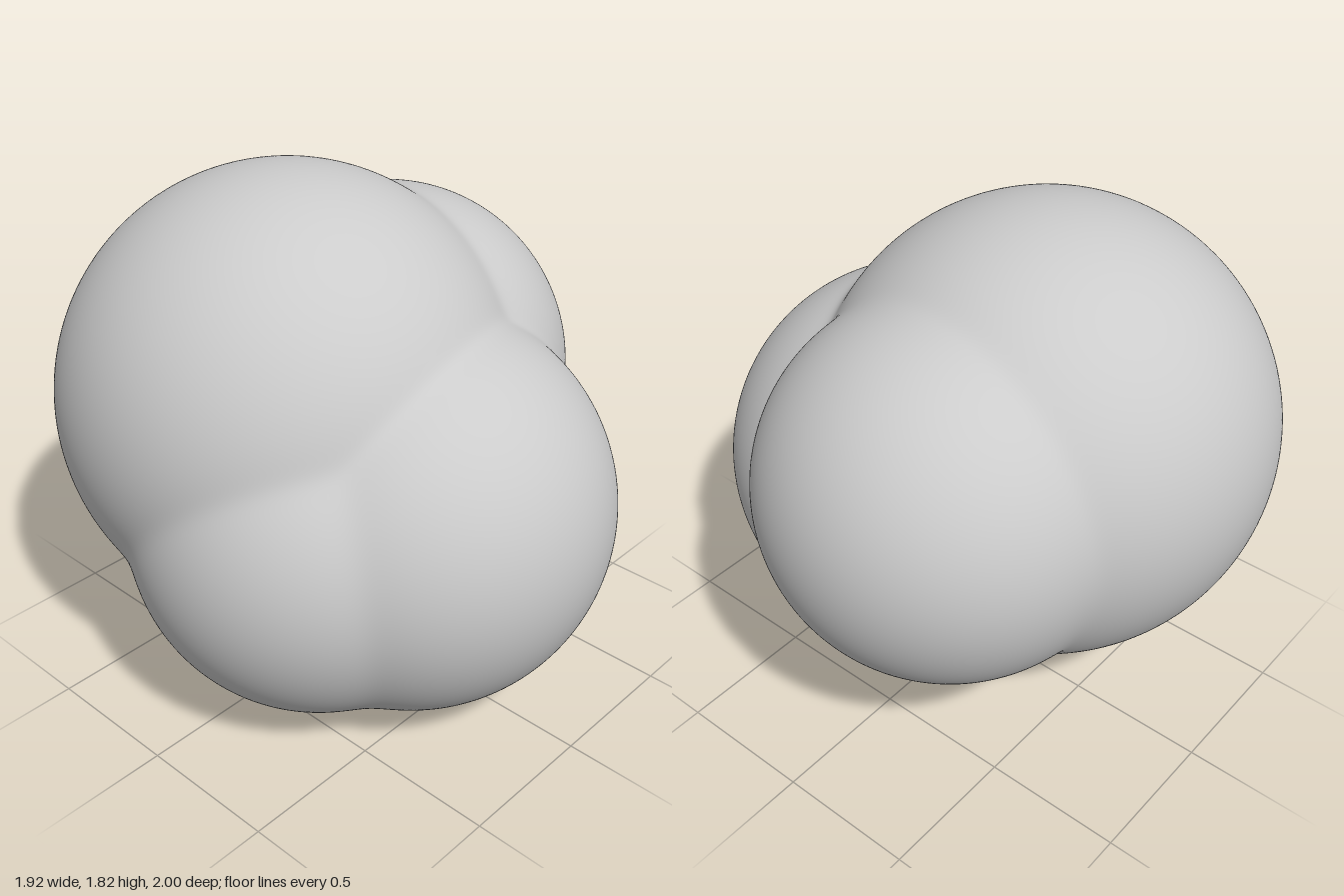
import * as THREE from 'three';
import { mergeVertices } from 'three/addons/utils/BufferGeometryUtils.js';

// Overlapping lobes of the cluster: centre x, y, z and radius
const LOBES = [
  [-0.15, 1.01, -0.19, 0.81],  // large back lobe
  [0.30, 0.98, -0.14, 0.66],   // side lobe, +x
  [-0.05, 0.71, 0.29, 0.71],   // front lobe
  [-0.30, 0.68, 0.10, 0.66],   // side lobe, -x
  [0.20, 0.53, 0.00, 0.47],    // small underside lobe
].map(([x, y, z, r]) => ({ centre: new THREE.Vector3(x, y, z), r }));

// A point inside every lobe, so each ray from it leaves the cluster once
const CORE = new THREE.Vector3(0, 0.8, 0);
const BLEND = 0.012; // softness of the creases

// Distance from the core to where a ray leaves one lobe
function exitDistance(dir, { centre, r }) {
  const toCentre = centre.clone().sub(CORE);
  const along = toCentre.dot(dir);
  return along + Math.sqrt(along * along - toCentre.lengthSq() + r * r);
}

// Softened maximum, which rounds the crease between two lobes
function softMax(values) {
  const max = Math.max(...values);
  const sum = values.reduce((s, v) => s + Math.exp((v - max) / BLEND), 0);
  return max + BLEND * Math.log(sum);
}

export function createModel() {
  // Shared-vertex sphere, pushed outward to the skin of the lobes
  let geometry = new THREE.IcosahedronGeometry(1, 60);
  geometry.deleteAttribute('uv');
  geometry.deleteAttribute('normal');
  geometry = mergeVertices(geometry, 1e-5);

  const position = geometry.attributes.position;
  const p = new THREE.Vector3();
  for (let i = 0; i < position.count; i++) {
    p.fromBufferAttribute(position, i).normalize();
    const distance = softMax(LOBES.map((lobe) => exitDistance(p, lobe)));
    p.multiplyScalar(distance).add(CORE);
    position.setXYZ(i, p.x, p.y, p.z);
  }
  geometry.computeVertexNormals();

  const cluster = new THREE.Mesh(
    geometry,
    new THREE.MeshStandardMaterial({ color: 0xcccccc })
  );
  cluster.name = 'lobeCluster';

  const group = new THREE.Group();
  group.name = 'fusedSpheres';
  group.add(cluster);
  return group;
}
